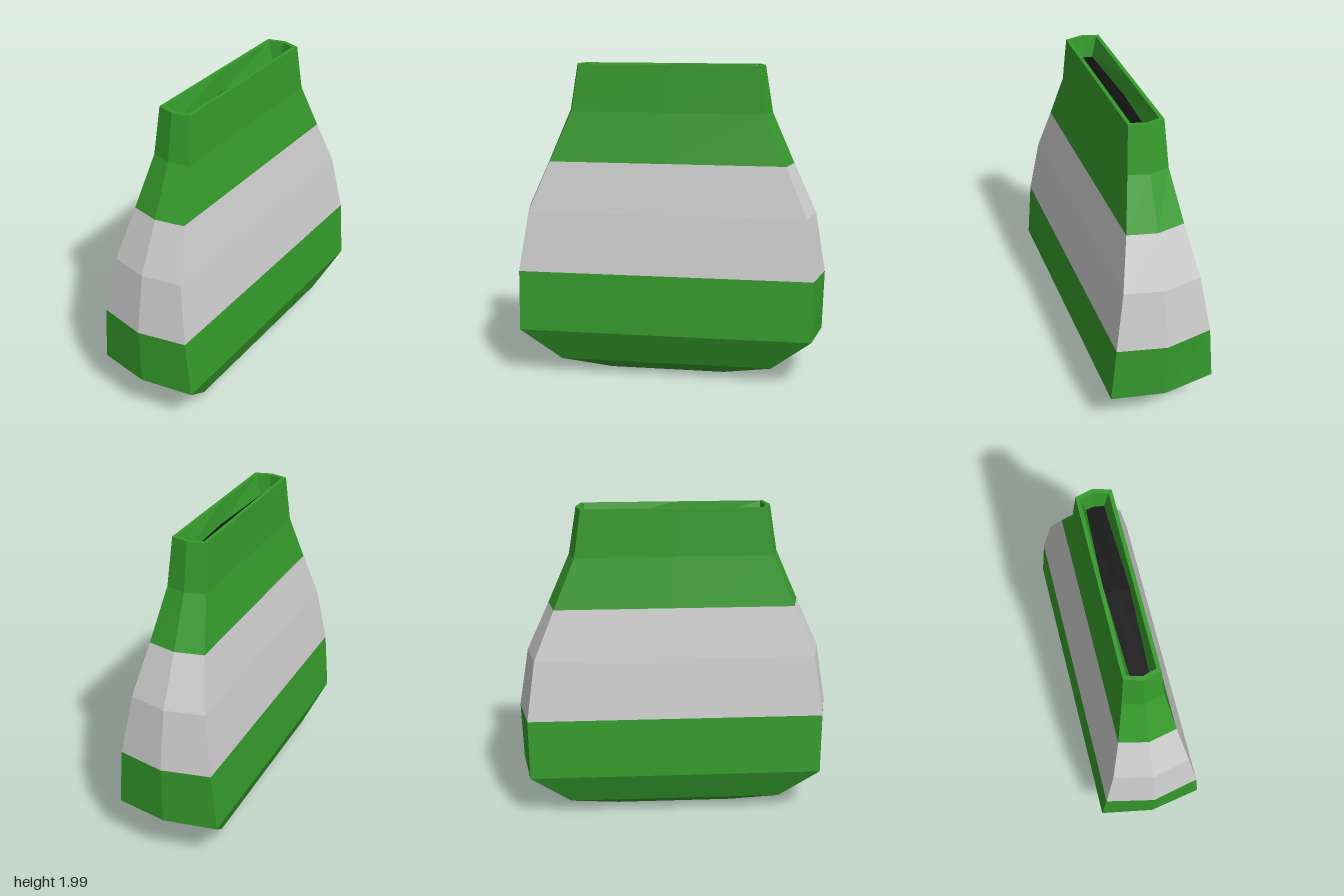
import * as THREE from 'three';

// Cross-section at height y: half width x, corner depth zc, end ridge depth za, half width at mid-side m
function ring([y, x, zc, za, m = x]) {
  return [[m, 0], [x, -zc], [0, -za], [-x, -zc], [-m, 0], [-x, zc], [0, za], [x, zc]]
    .map(([px, pz]) => [px, y, pz]);
}

// Skin a sequence of cross-sections; each ring joins the next one
function loft(name, sections, color) {
  const rings = sections.map(ring);
  const pos = [];
  for (let k = 0; k < rings.length - 1; k++) {
    const a = rings[k], b = rings[k + 1], n = a.length;
    for (let i = 0; i < n; i++) {
      const j = (i + 1) % n;
      pos.push(...a[i], ...a[j], ...b[j], ...a[i], ...b[j], ...b[i]);
    }
  }
  const geometry = new THREE.BufferGeometry();
  geometry.setAttribute('position', new THREE.Float32BufferAttribute(pos, 3));
  geometry.computeVertexNormals();
  const mesh = new THREE.Mesh(geometry, new THREE.MeshStandardMaterial({ color, flatShading: true }));
  mesh.name = name;
  return mesh;
}

export function createModel() {
  const GREEN = 0x359a2b, GREY = 0xcccccc, DARK = 0x111111;
  const group = new THREE.Group();
  group.name = 'vase';

  const lowerSeam = [0.68, 0.30, 0.935, 1.0];
  const upperSeam = [1.375, 0.178, 0.75, 0.79];
  const floorEdge = [1.85, 0.055, 0.545, 0.555, 0.075];

  // Faceted base, closed underneath
  group.add(loft('lowerBody', [
    [0, 0, 0, 0],
    [0.01, 0.13, 0.37, 0.40],
    [0.09, 0.245, 0.68, 0.73],
    [0.30, 0.333, 0.93, 0.99],
    lowerSeam,
  ], GREEN));

  // Pale middle band
  group.add(loft('middleBand', [lowerSeam, [1.06, 0.24, 0.88, 0.935], upperSeam], GREY));

  // Neck, rim and the inner wall of the mouth
  group.add(loft('neck', [
    upperSeam,
    [1.69, 0.125, 0.615, 0.65],
    [1.985, 0.108, 0.57, 0.60],
    [1.985, 0.085, 0.55, 0.575],
    floorEdge,
  ], GREEN));

  // Dark surface inside the mouth
  group.add(loft('mouthInterior', [floorEdge, [1.85, 0, 0, 0]], DARK));

  return group;
}
